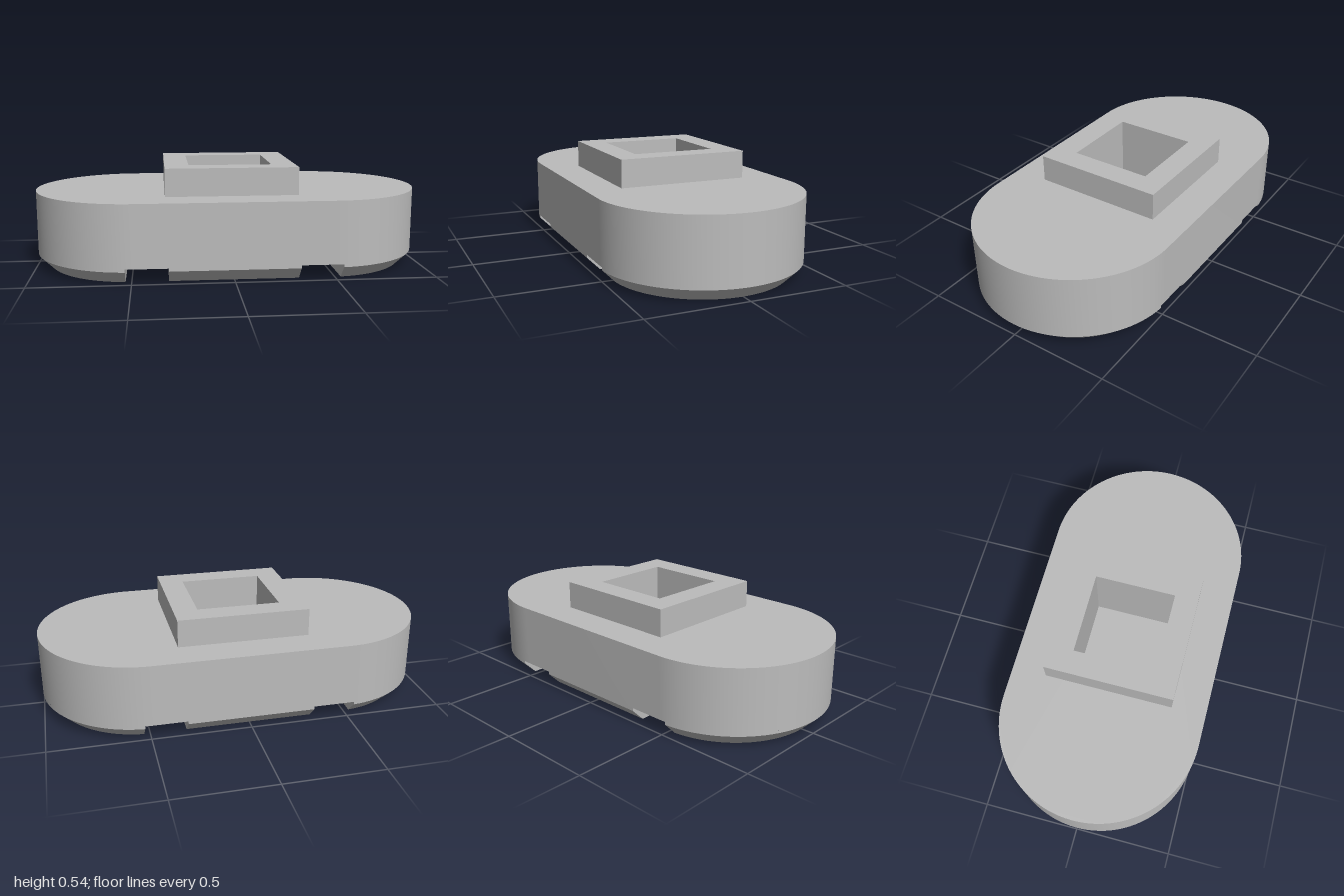
import * as THREE from 'three';
import { toCreasedNormals } from 'three/addons/utils/BufferGeometryUtils.js';

const R = 0.51, ARC_X = 0.49;          // stadium radius and arc centre
const CHAMFER = 0.065, FOOT = 0.08, DECK = 0.395, TOP = 0.535;
const GROOVE_IN = 0.32, GROOVE_OUT = 0.53;
const BOSS = 0.333, HOLE = 0.211, FLOOR = 0.13;

const square = (C, h) => {
  const s = new C();
  s.moveTo(-h, -h).lineTo(h, -h).lineTo(h, h).lineTo(-h, h).closePath();
  return s;
};

// Extrudes a plan shape upwards between two heights
function slab(shape, y0, y1) {
  const g = new THREE.ExtrudeGeometry(shape, { depth: y1 - y0, bevelEnabled: false, curveSegments: 48 });
  g.rotateX(-Math.PI / 2).translate(0, y0, 0);
  return toCreasedNormals(g, 0.4);
}

// Rounded end of the base outside the groove, counter-clockwise plan outline
function endOutline(r) {
  const a = Math.acos((GROOVE_OUT - ARC_X) / r), n = 48;
  return Array.from({ length: n + 1 }, (_, i) => {
    const t = -a + (2 * a * i) / n;
    return [ARC_X + r * Math.cos(t), r * Math.sin(t)];
  });
}

const middleOutline = r => [[-GROOVE_IN, -r], [GROOVE_IN, -r], [GROOVE_IN, r], [-GROOVE_IN, r]];

// Lofts a chamfered foot from its outline at three heights and caps the bottom
function foot(outline) {
  const rings = [[R - CHAMFER, 0], [R, CHAMFER], [R, FOOT]]
    .map(([r, y]) => outline(r).map(([x, d]) => [x, y, -d]));
  const pos = [], n = rings[0].length;
  for (let k = 0; k < 2; k++) {
    for (let i = 0; i < n; i++) {
      const j = (i + 1) % n;
      const a = rings[k][i], b = rings[k][j], c = rings[k + 1][j], d = rings[k + 1][i];
      pos.push(...a, ...b, ...c, ...a, ...c, ...d);
    }
  }
  for (let i = 1; i < n - 1; i++) pos.push(...rings[0][0], ...rings[0][i + 1], ...rings[0][i]);
  const g = new THREE.BufferGeometry();
  g.setAttribute('position', new THREE.Float32BufferAttribute(pos, 3));
  return toCreasedNormals(g, 0.4);
}

export function createModel() {
  const group = new THREE.Group();
  const grey = new THREE.MeshStandardMaterial({ color: 0xbcbcbc });
  grey.name = 'grey';
  const add = (name, geometry) => {
    const m = new THREE.Mesh(geometry, grey);
    m.name = name;
    group.add(m);
    return m;
  };

  // Stadium body with the square socket
  const body = new THREE.Shape();
  body.moveTo(-ARC_X, -R).lineTo(ARC_X, -R);
  body.absarc(ARC_X, 0, R, -Math.PI / 2, Math.PI / 2, false);
  body.lineTo(-ARC_X, R);
  body.absarc(-ARC_X, 0, R, Math.PI / 2, Math.PI * 1.5, false);
  body.holes.push(square(THREE.Path, HOLE));
  add('body', slab(body, FOOT, DECK));

  // Raised square collar around the socket
  const collar = square(THREE.Shape, BOSS);
  collar.holes.push(square(THREE.Path, HOLE));
  add('collar', slab(collar, DECK, TOP));

  // Socket floor
  const floor = new THREE.PlaneGeometry(2 * HOLE, 2 * HOLE);
  add('socketFloor', floor.rotateX(-Math.PI / 2).translate(0, FLOOR, 0));

  // Chamfered feet separated by two cross grooves
  add('middleFoot', foot(middleOutline));
  add('leftFoot', foot(endOutline));
  add('rightFoot', foot(endOutline)).rotation.y = Math.PI;

  return group;
}
